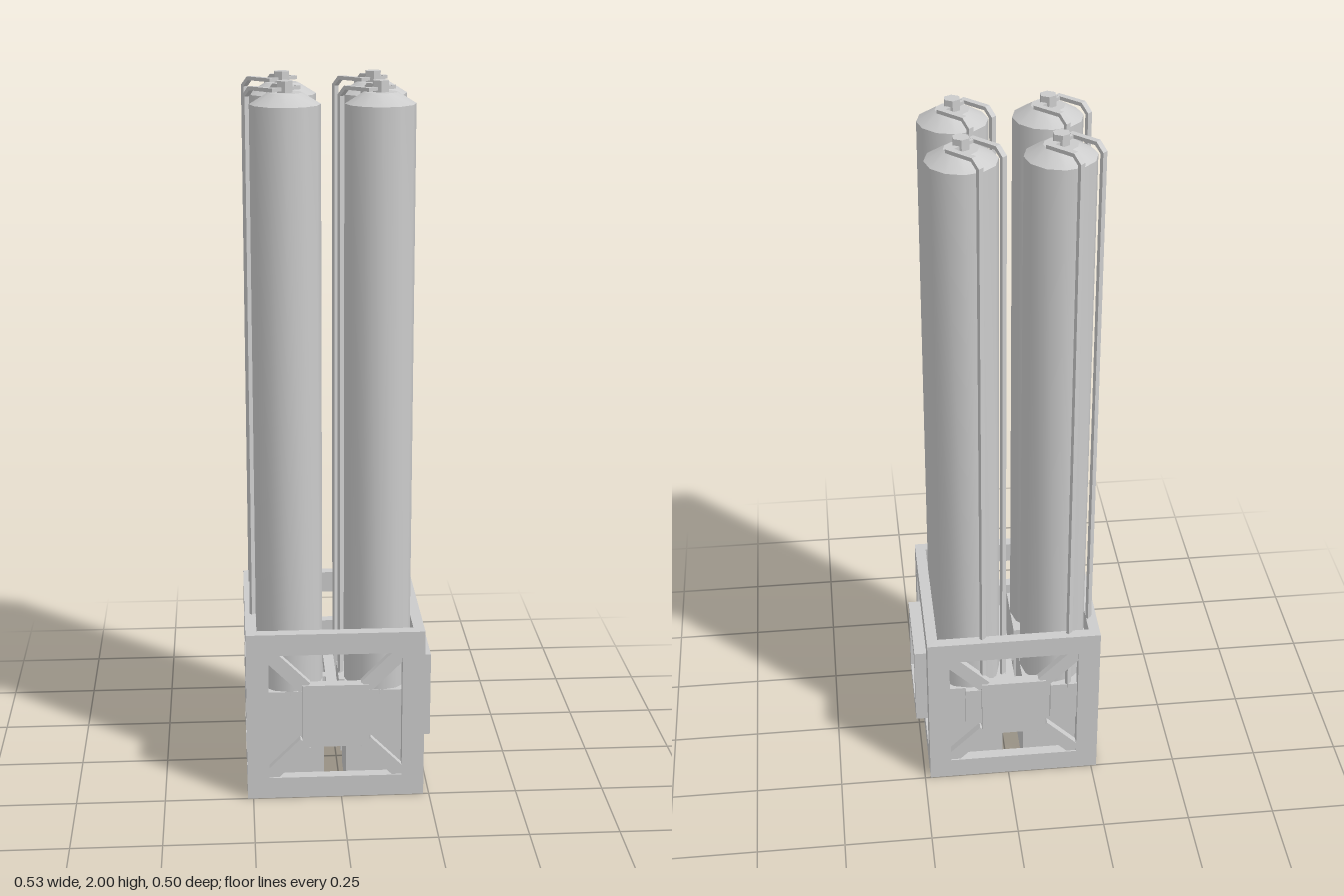
import * as THREE from 'three';
import { toCreasedNormals } from 'three/addons/utils/BufferGeometryUtils.js';

const grey = new THREE.MeshStandardMaterial({ color: 0xcccccc });
const T = 0.031; // stock thickness shared by walls, plates and bars

function add(parent, name, geometry, x = 0, y = 0, z = 0) {
  const mesh = new THREE.Mesh(geometry, grey);
  mesh.name = name;
  mesh.position.set(x, y, z);
  parent.add(mesh);
  return mesh;
}

// Square ring in the xy plane, extruded along +z
function squareRing(outer, inner, depth) {
  const square = (path, s) => path.moveTo(-s / 2, -s / 2).lineTo(s / 2, -s / 2)
    .lineTo(s / 2, s / 2).lineTo(-s / 2, s / 2).closePath();
  const shape = square(new THREE.Shape(), outer);
  shape.holes.push(square(new THREE.Path(), inner));
  return new THREE.ExtrudeGeometry(shape, { depth, bevelEnabled: false });
}

// One side of the base: open frame, centre plate and four diagonal struts
function createWall(hasPort) {
  const wall = new THREE.Group();
  wall.name = 'wall';
  add(wall, 'wallFrame', squareRing(0.5, 0.375, T), 0, 0.25, 0.25 - T);
  add(wall, 'centrePlate', new THREE.BoxGeometry(0.1875, 0.1875, T), 0, 0.25, 0.25 - T / 2);
  for (const sx of [-1, 1]) for (const sy of [-1, 1]) {
    const strut = add(wall, 'strut', new THREE.BoxGeometry(0.16, 0.04, 0.022),
      sx * 0.142, 0.25 + sy * 0.142, 0.25 - T / 2);
    strut.rotation.z = sx * sy * Math.PI / 4;
  }
  if (hasPort) add(wall, 'portRim', squareRing(0.25, 0.1875, 2 * T), 0, 0.25, 0.25 - T);
  return wall;
}

// Bent strap: over the shoulder, then down the outside of the tank
function strapGeometry(width) {
  const outline = [[-0.006, 1.974], [-0.006, 1.984], [0.08, 1.984], [0.102, 1.96],
    [0.102, 0.3], [0.093, 0.3], [0.093, 1.956], [0.076, 1.974]];
  const shape = new THREE.Shape(outline.map(([x, y]) => new THREE.Vector2(x, y)));
  return new THREE.ExtrudeGeometry(shape, { depth: width, bevelEnabled: false })
    .translate(0, 0, -width / 2);
}

// Tall tank in its socket, with valve, paired straps and a feed block
function createTank() {
  const tank = new THREE.Group();
  tank.name = 'tank';
  const profile = [[0, 0.3], [0.094, 0.3], [0.094, 1.94], [0.045, 1.97], [0, 1.97]]
    .map(([r, y]) => new THREE.Vector2(r, y));
  add(tank, 'tankBody', toCreasedNormals(new THREE.LatheGeometry(profile, 12), 0.55));
  add(tank, 'valve', toCreasedNormals(new THREE.CylinderGeometry(0.023, 0.023, 0.04, 6), 0.5), 0, 1.98, 0);
  add(tank, 'socket', new THREE.BoxGeometry(0.1875, 0.3125, 0.1875), 0, 0.15625, 0);
  add(tank, 'feedBlock', new THREE.BoxGeometry(0.125, 0.125, 0.125), -0.047, 0.25, -0.047);

  const straps = new THREE.Group();
  straps.name = 'straps';
  straps.rotation.y = Math.PI * 0.75;
  for (const side of [-1, 1]) add(straps, 'strap', strapGeometry(0.017), 0, 0, side * 0.046);
  add(straps, 'strapYoke', new THREE.BoxGeometry(0.016, 0.009, 0.09), 0.002, 1.979, 0);
  tank.add(straps);
  return tank;
}

export function createModel() {
  const model = new THREE.Group();
  model.name = 'tankRack';
  const rack = new THREE.Group();
  rack.name = 'rack';
  rack.position.x = -0.016;
  model.add(rack);

  // Base walls, the left one carrying the port
  for (let i = 0; i < 4; i++) {
    const wall = createWall(i === 1);
    wall.rotation.y = i * Math.PI / 2;
    rack.add(wall);
  }

  // Cross bars joining opposite plates
  add(rack, 'crossBar', new THREE.BoxGeometry(0.44, T, T), 0, 0.25, 0);
  add(rack, 'crossBar', new THREE.BoxGeometry(T, T, 0.44), 0, 0.25, 0);

  // Four tanks
  for (const x of [-0.125, 0.125]) for (const z of [-0.125, 0.125]) {
    const tank = createTank();
    tank.position.set(x, 0, z);
    rack.add(tank);
  }
  return model;
}
